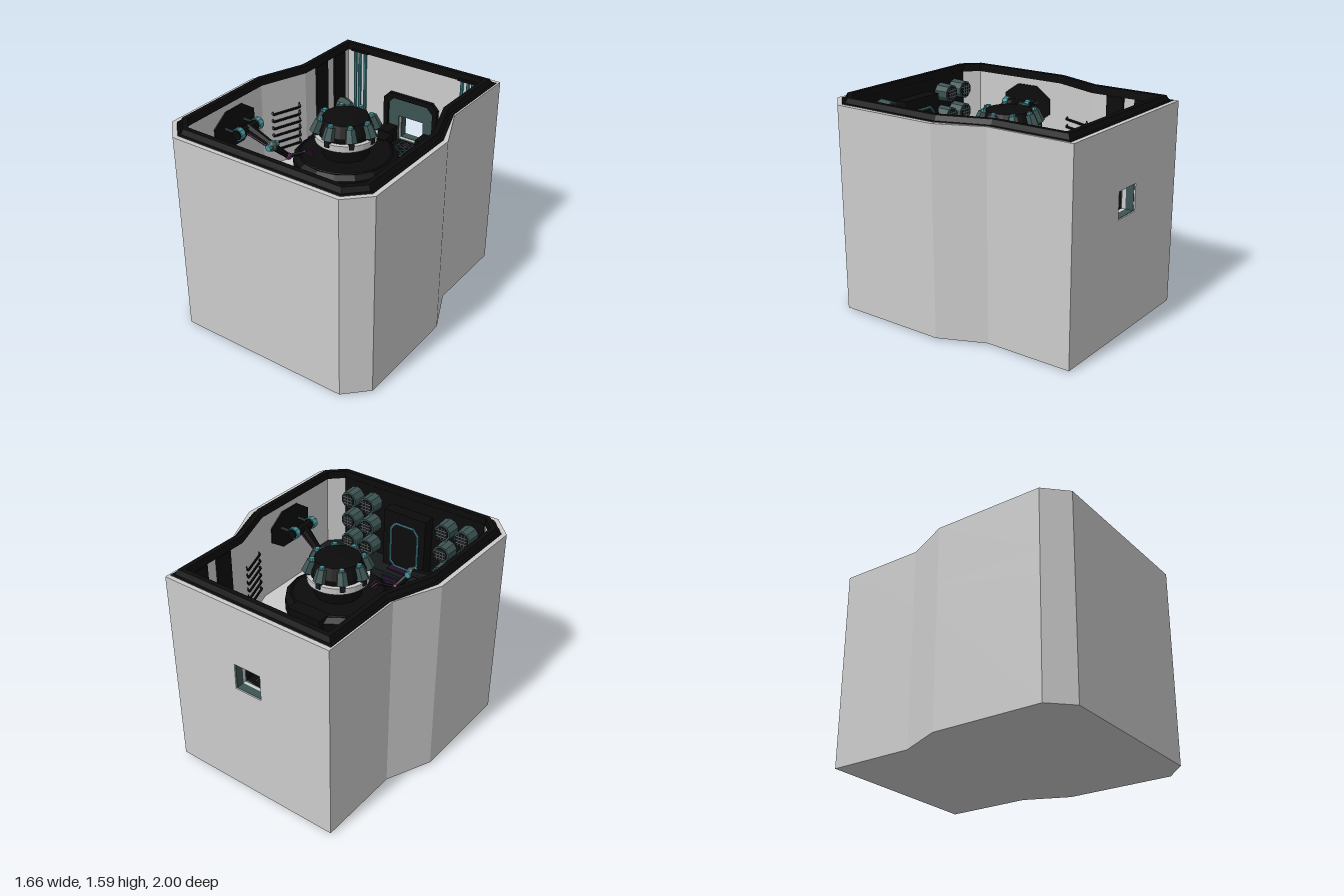
import * as THREE from 'three';

const mat = (color) => new THREE.MeshStandardMaterial({ color, flatShading: true });
const grey = mat(0xcccccc), black = mat(0x0b0b0b), dark = mat(0x161b1b), teal = mat(0x3c5453),
  cyan = mat(0x43929a), purple = mat(0x22122a), magenta = mat(0x4a2044), metal = mat(0x7c8484);
const FLOOR = 0.85, TOP = 1.55, CZ = -0.02;

// outlines of the room as [x, z], clockwise seen from above
const mirrored = (half) => [...half, ...half.map(([x, z]) => [-x, z]).reverse()];
const plan = mirrored([[0.68, -1], [0.68, -0.34], [0.83, 0], [0.83, 0.84], [0.67, 1]]);
const liningPlan = mirrored([[0.7, -1], [0.7, -0.36], [0.83, 0], [0.83, 0.84], [0.67, 1]]);

function inset(points, d) {
  const n = points.length;
  const normal = (i) => {
    const [a, b] = [points[(i + n) % n], points[(i + 1) % n]];
    const l = Math.hypot(b[0] - a[0], b[1] - a[1]);
    return [-(b[1] - a[1]) / l, (b[0] - a[0]) / l];
  };
  return points.map(([x, z], i) => {
    const p = normal(i - 1), q = normal(i), k = d / (1 + p[0] * q[0] + p[1] * q[1]);
    return [x + (p[0] + q[0]) * k, z + (p[1] + q[1]) * k];
  });
}

export function createModel() {
  const root = new THREE.Group();
  const add = (name, geo, material, x = 0, y = 0, z = 0, parent = root) => {
    const m = new THREE.Mesh(geo, material);
    m.name = name;
    m.position.set(x, y, z);
    parent.add(m);
    return m;
  };
  const box = (name, material, x0, x1, y0, y1, z0, z1) =>
    add(name, new THREE.BoxGeometry(Math.abs(x1 - x0), y1 - y0, z1 - z0), material, (x0 + x1) / 2, (y0 + y1) / 2, (z0 + z1) / 2);
  const shapeOf = (pts) => new THREE.Shape(pts.map(([x, z]) => new THREE.Vector2(x, -z)));
  const slab = (name, material, pts, y0, y1, hole) => {
    const s = shapeOf(pts);
    if (hole) s.holes.push(shapeOf(hole.slice().reverse()));
    const g = new THREE.ExtrudeGeometry(s, { depth: y1 - y0, bevelEnabled: false });
    return add(name, g.rotateX(-Math.PI / 2), material, 0, y0, 0);
  };
  // round bar between two points, optionally tapered
  const rod = (name, material, a, b, r, r2 = r, sides = 8) => {
    const p = new THREE.Vector3(...a), q = new THREE.Vector3(...b), d = q.clone().sub(p);
    const m = add(name, new THREE.CylinderGeometry(r2, r, d.length(), sides), material);
    m.position.copy(p).add(q).multiplyScalar(0.5);
    m.quaternion.setFromUnitVectors(new THREE.Vector3(0, 1, 0), d.normalize());
    return m;
  };
  // facets between stacked outlines, each [points, height]
  const loft = (name, material, sections) => {
    const pos = [], n = plan.length;
    for (let k = 0; k + 1 < sections.length; k++) for (let i = 0; i < n; i++) {
      const at = (s, j) => { const [p, y] = sections[s]; return [p[j % n][0], y, p[j % n][1]]; };
      const a = at(k, i), b = at(k, i + 1), c = at(k + 1, i + 1), d = at(k + 1, i);
      pos.push(...a, ...d, ...c, ...a, ...c, ...b);
    }
    const g = new THREE.BufferGeometry();
    g.setAttribute('position', new THREE.Float32BufferAttribute(pos, 3));
    g.computeVertexNormals();
    return add(name, g, material);
  };

  // shell: shallow underside, solid base, walls with a window gap in the back
  const inner = inset(liningPlan, 0.1);
  loft('underside', grey, [[plan.map(() => [0, 0]), 0], [plan, 0.016]]);
  slab('base', grey, plan, 0.015, FLOOR);
  slab('lowerWalls', grey, plan, FLOOR, 0.89, inner);
  slab('windowWalls', grey, [[0.11, -1], ...plan, [-0.11, -1], [-0.11, -0.9], ...inner.slice().reverse(), [0.11, -0.9]], 0.89, 1.09);
  slab('upperWalls', grey, plan, 1.09, TOP, inner);
  loft('rim', black, [[0.033, TOP], [0.036, 1.554], [0.054, 1.555], [0.072, 1.59], [0.108, 1.59], [0.108, 1.53], [0.09, 1.53]]
    .map(([d, y]) => [inset(liningPlan, d), y]));

  // thin framed panel around the window, side blocks, passage and steps
  const panelPart = (name, material, outer, hole, depth) => {
    const s = new THREE.Shape(outer.map((p) => new THREE.Vector2(...p)));
    s.holes.push(new THREE.Path(hole.map((p) => new THREE.Vector2(...p))));
    add(name, new THREE.ExtrudeGeometry(s, { depth, bevelEnabled: false }), material, 0, 0, -0.905);
  };
  const border = (w, h) => [[-w, FLOOR], [w, FLOOR], [w, h - 0.05], [w - 0.05, h], [0.05 - w, h], [-w, h - 0.05]];
  panelPart('windowPanel', teal, border(0.22, 1.27), [[-0.11, 0.89], [0.11, 0.89], [0.11, 1.09], [-0.11, 1.09]], 0.015);
  panelPart('windowFrame', black, border(0.24, 1.28), border(0.2, 1.24), 0.035);
  for (const s of [-1, 1]) {
    box('windowBlock', black, s * 0.12, s * 0.23, FLOOR, 1.0, -0.9, -0.76);
    box('windowTrim', teal, s * 0.105, s * 0.112, 0.89, 1.09, -0.99, -0.93);
    rod('passageRail', metal, [s * 0.12, 0.94, -0.76], [s * 0.12, 0.94, -0.59], 0.006);
    rod('passageRail', metal, [s * 0.12, 0.94, -0.59], [s * 0.095, 0.94, -0.58], 0.006);
  }
  box('windowSill', teal, -0.11, 0.11, 0.885, 0.893, -0.99, -0.93);
  box('passageFloor', black, -0.115, 0.115, FLOOR, 0.89, -0.9, -0.58);
  for (const x of [-0.055, 0.055]) rod('passageTruss', cyan, [x, 0.893, -0.86], [x, 0.893, -0.64], 0.004, 0.004, 4);
  for (let i = 0; i < 4; i++) for (const s of [-1, 1]) {
    const z = -0.86 + i * 0.055;
    rod('passageTruss', teal, [-0.055 * s, 0.893, z], [0.055 * s, 0.893, z + 0.055], 0.004, 0.004, 4);
  }
  for (const z of [-0.82, -0.66])
    add('passageWheel', new THREE.TorusGeometry(0.025, 0.006, 4, 12).rotateX(Math.PI / 2), magenta, 0.012, 0.898, z);
  for (let i = 0; i < 4; i++) box('bridgeStep', i % 2 ? dark : black, -0.095, 0.095, FLOOR, 0.94 + i * 0.07, -0.59 + i * 0.05, -0.36);

  // central platform with a trim line
  const lathe = (name, material, pts, sides) =>
    add(name, new THREE.LatheGeometry(pts.map((p) => new THREE.Vector2(...p)), sides), material, 0, 0, CZ);
  lathe('platform', black, [[0.3, FLOOR], [0.31, 1.0], [0.378, 1.08], [0.378, 1.17], [0.34, 1.2], [0, 1.2]], 16);
  add('platformTrim', new THREE.TorusGeometry(0.325, 0.005, 4, 32).rotateX(Math.PI / 2), purple, 0, 1.202, CZ);
  box('platformGate', black, -0.14, 0.14, 1.05, 1.21, -0.41, -0.3);

  // central dome with its light ring and claws
  lathe('domeBody', black, [[0.17, 1.2], [0.19, 1.32], [0.2, 1.4], [0.165, 1.48], [0, 1.495]], 16);
  lathe('lightRing', grey, [[0.195, 1.31], [0.222, 1.31], [0.226, 1.36], [0.195, 1.36]], 32);
  for (let i = 0; i < 8; i++) {
    const g = new THREE.Group();
    g.name = 'claw';
    g.position.set(0, 0, CZ);
    g.rotation.y = i * Math.PI / 4;
    root.add(g);
    const shell = add('clawShell', new THREE.CylinderGeometry(0.034, 0.046, 0.095, 6), teal, 0, 1.425, 0.2, g);
    shell.rotation.x = -0.35;
    add('clawCap', new THREE.CylinderGeometry(0.018, 0.022, 0.02, 8), cyan, 0, 1.478, 0.182, g);
    add('clawFoot', new THREE.BoxGeometry(0.035, 0.05, 0.04), dark, 0, 1.36, 0.215, g);
  }

  // seven spoked lamps around the platform
  for (let i = -3; i <= 3; i++) {
    const x = 0.407 * Math.sin(i * Math.PI / 4), z = CZ + 0.407 * Math.cos(i * Math.PI / 4);
    add('lampBase', new THREE.CylinderGeometry(0.06, 0.06, 0.16, 12), black, x, 0.93, z);
    add('lampRing', new THREE.TorusGeometry(0.051, 0.009, 5, 16).rotateX(Math.PI / 2), dark, x, 1.01, z);
    add('lampLens', new THREE.CylinderGeometry(0.02, 0.02, 0.02, 12), grey, x, 1.012, z);
    for (let k = 0; k < 8; k++) {
      const c = Math.cos(k * Math.PI / 4), s = Math.sin(k * Math.PI / 4);
      rod('lampSpoke', teal, [x + c * 0.02, 1.012, z + s * 0.02], [x + c * 0.05, 1.012, z + s * 0.05], 0.004, 0.004, 4);
    }
  }

  // front console, wall backing, doorway and steps
  slab('frontConsole', dark, [[-0.74, 0.61], [-0.66, 0.68], [0.66, 0.68], [0.74, 0.61], [0.74, 0.82], [0.64, 0.91], [-0.64, 0.91], [-0.74, 0.82]], FLOOR, 0.98);
  box('frontBacking', black, -0.62, 0.62, 0.98, 1.54, 0.89, 0.91);
  box('doorway', black, -0.19, 0.18, FLOOR, 1.45, 0.79, 0.9);
  const arch = [[-0.09, 0.99], [-0.13, 1.03], [-0.13, 1.31], [-0.09, 1.36], [0.07, 1.36], [0.11, 1.31], [0.11, 1.03], [0.07, 0.99]];
  arch.forEach((p, i) => rod('doorTrim', cyan, [...p, 0.788], [...arch[(i + 1) % 8], 0.788], 0.008, 0.008, 6));
  for (let i = 0; i < 4; i++) box('doorStep', purple, -0.1, 0.1, FLOOR, 0.885 + i * 0.035, 0.54 + i * 0.0625, 0.79);

  for (const s of [-1, 1]) {
    // drums on the front wall
    for (const x of [0.34, 0.51]) for (let row = 0; row < 3; row++) {
      const y = 1.06 + row * 0.18;
      rod('drum', teal, [s * x, y, 0.9], [s * x, y, 0.78], 0.074, 0.068, 10);
      rod('drumFace', dark, [s * x, y, 0.785], [s * x, y, 0.77], 0.055, 0.055, 10);
      for (const o of [-0.025, 0, 0.025]) {
        rod('drumGrille', metal, [s * x - 0.045, y + o, 0.768], [s * x + 0.045, y + o, 0.768], 0.004, 0.004, 4);
        rod('drumGrille', metal, [s * x + o, y - 0.045, 0.768], [s * x + o, y + 0.045, 0.768], 0.004, 0.004, 4);
      }
    }
    // rear side bench, wall panels, studs and pipes
    const bench = [[0.63, -0.91], [0.63, -0.36], [0.52, -0.36], [0.4, -0.47], [0.4, -0.91]].map(([x, z]) => [s * x, z]);
    slab('rearBench', black, s > 0 ? bench : bench.reverse(), FLOOR, 0.98);
    for (const z of [-0.77, -0.54]) {
      box('wallPanel', black, s * 0.585, s * 0.61, 0.98, 1.53, z - 0.07, z + 0.07);
      rod('panelStud', teal, [s * 0.61, 1.1, z], [s * 0.54, 1.1, z], 0.068, 0.068, 8);
      rod('panelStud', teal, [s * 0.54, 1.1, z], [s * 0.485, 1.1, z], 0.068, 0.045, 8);
    }
    for (const x of [0.43, 0.48, 0.52]) rod('wallPipe', cyan, [s * x, 0.98, -0.885], [s * x, 1.54, -0.885], 0.013);
    box('pipeCap', black, s * 0.4, s * 0.55, 1.535, 1.55, -0.9, -0.87);

    // hooked bars on the slanted wall
    for (let i = 0; i < 6; i++) {
      const y = 0.97 + i * 0.06;
      const pts = [[0.63, y + 0.025, -0.29], [0.61, y, -0.28], [0.69, y, -0.06], [0.72, y + 0.025, -0.07]].map(([x, b, z]) => [s * x, b, z]);
      for (let k = 0; k < 3; k++) rod('hookBar', black, pts[k], pts[k + 1], 0.009, 0.009, 6);
      add('hookTip', new THREE.SphereGeometry(0.014, 8, 6), black, ...pts[0]);
    }

    // robot arm mount
    const plate = add('armPlate', new THREE.CylinderGeometry(0.2, 0.2, 0.02, 8).rotateY(Math.PI / 8).rotateZ(Math.PI / 2), black, s * 0.732, 1.33, 0.33);
    plate.scale.set(1, 0.8, 1.15);
    for (const z of [0.23, 0.43]) {
      rod('mountRod', teal, [s * 0.73, 1.35, z], [s * 0.6, 1.35, z], 0.01);
      rod('mountCap', cyan, [s * 0.6, 1.35, z - 0.02], [s * 0.6, 1.35, z + 0.02], 0.046, 0.046, 10);
    }
    rod('mountBarrel', black, [s * 0.6, 1.35, 0.2], [s * 0.6, 1.35, 0.46], 0.038);

    // arm: one reaches to the platform, the other hangs with an open gripper
    const joints = s < 0
      ? [[-0.6, 1.35, 0.33], [-0.36, 1.3, 0.36], [-0.29, 1.2, 0.27], [-0.2, 1.23, 0.2]]
      : [[0.6, 1.35, 0.33], [0.46, 1.18, 0.35], [0.4, 1.05, 0.44], [0.33, 1.0, 0.53]];
    for (let k = 0; k < 3; k++) {
      const r = [0.042, 0.028, 0.014][k];
      rod('armSegment', black, joints[k], joints[k + 1], r, r * 0.7);
      add('armJoint', new THREE.SphereGeometry(r * 0.95, 8, 6), k ? magenta : teal, ...joints[k + 1]);
    }
    const [a, b] = joints;
    for (const o of [-0.05, 0.05]) rod('armCable', magenta, [a[0], a[1], a[2] + o], [b[0], b[1], b[2] + o * 0.6], 0.007, 0.007, 5);
    rod('elbowPin', cyan, [b[0], b[1], b[2] - 0.05], [b[0], b[1], b[2] + 0.05], 0.025);
    const [hx, hy, hz] = joints[3], f = s < 0 ? 0.6 : 0.85, dir = [-s * 0.7, s * 0.7];
    for (const t of [-1, 0, 1]) {
      const side = [dir[1] * t, -dir[0] * t];
      const at = (u, v, dy) => [hx + f * (dir[0] * u + side[0] * v), hy + dy, hz + f * (dir[1] * u + side[1] * v)];
      rod('gripperFinger', dark, at(0, 0, 0), at(0.03, 0.07, 0), 0.011, 0.009, 6);
      rod('gripperFinger', magenta, at(0.03, 0.07, 0), at(0.1, 0.05, -0.03), 0.009, 0.006, 6);
    }
  }
  return root;
}
